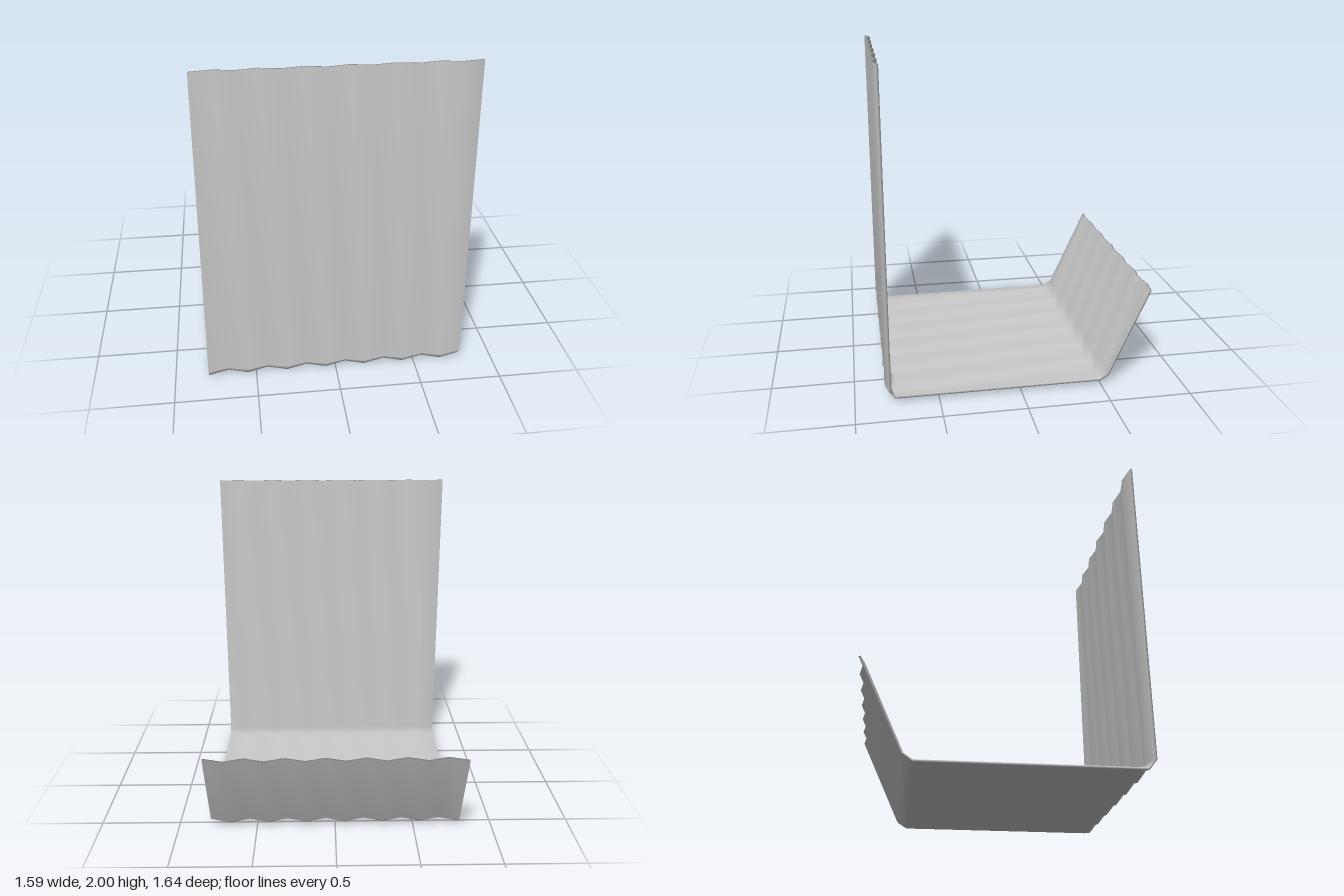
import * as THREE from 'three';

// Side profile as [z, y]: the outermost and innermost reach of the ripples,
// from the top of the front wall, under the floor, to the back lip.
const OUTER = [[0.82, 2], [0.82, 0.06], [0.772, 0], [-0.505, 0], [-0.565, 0.042], [-0.82, 0.59]];
const INNER = [[0.785, 2], [0.785, 0.07], [0.757, 0.037], [-0.493, 0.037], [-0.54, 0.062], [-0.787, 0.605]];
const FOLDS = 13;        // ripple flanks across the width
const HALF_WIDTH = 0.795;
const RIPPLE = 0.65;     // share of the profile depth taken by the ripple; the rest is thickness

function createSheetGeometry() {
  const n = OUTER.length;
  const ring = 2 * n;
  const positions = [];
  const index = [];
  const quad = (a, b, c, d) => index.push(a, b, c, a, c, d);

  // One closed cross-section per fold line: outer skin down, inner skin back
  for (let j = 0; j <= FOLDS; j++) {
    const x = -HALF_WIDTH + (2 * HALF_WIDTH * j) / FOLDS;
    const shift = j % 2 ? RIPPLE : 0;
    for (let k = 0; k < ring; k++) {
      const inside = k >= n;
      const i = inside ? ring - 1 - k : k;
      const t = shift + (inside ? 1 - RIPPLE : 0);
      const z = THREE.MathUtils.lerp(OUTER[i][0], INNER[i][0], t);
      const y = THREE.MathUtils.lerp(OUTER[i][1], INNER[i][1], t);
      positions.push(x, y, z);
    }
  }

  // Skins and the two rims
  for (let j = 0; j < FOLDS; j++) {
    for (let k = 0; k < ring; k++) {
      const a = j * ring + k;
      const b = j * ring + ((k + 1) % ring);
      quad(a, b, b + ring, a + ring);
    }
  }

  // Narrow side edges
  const last = FOLDS * ring;
  for (let k = 0; k < n - 1; k++) {
    const m = ring - 1 - k;
    quad(k, m, m - 1, k + 1);
    quad(last + k, last + k + 1, last + m - 1, last + m);
  }

  const geometry = new THREE.BufferGeometry();
  geometry.setAttribute('position', new THREE.Float32BufferAttribute(positions, 3));
  geometry.setIndex(index);
  geometry.computeVertexNormals();
  return geometry;
}

export function createModel() {
  const group = new THREE.Group();
  group.name = 'bentCorrugatedSheet';
  const material = new THREE.MeshStandardMaterial({ color: 0xcccccc });
  const sheet = new THREE.Mesh(createSheetGeometry(), material);
  sheet.name = 'corrugatedSheet';
  group.add(sheet);
  return group;
}
